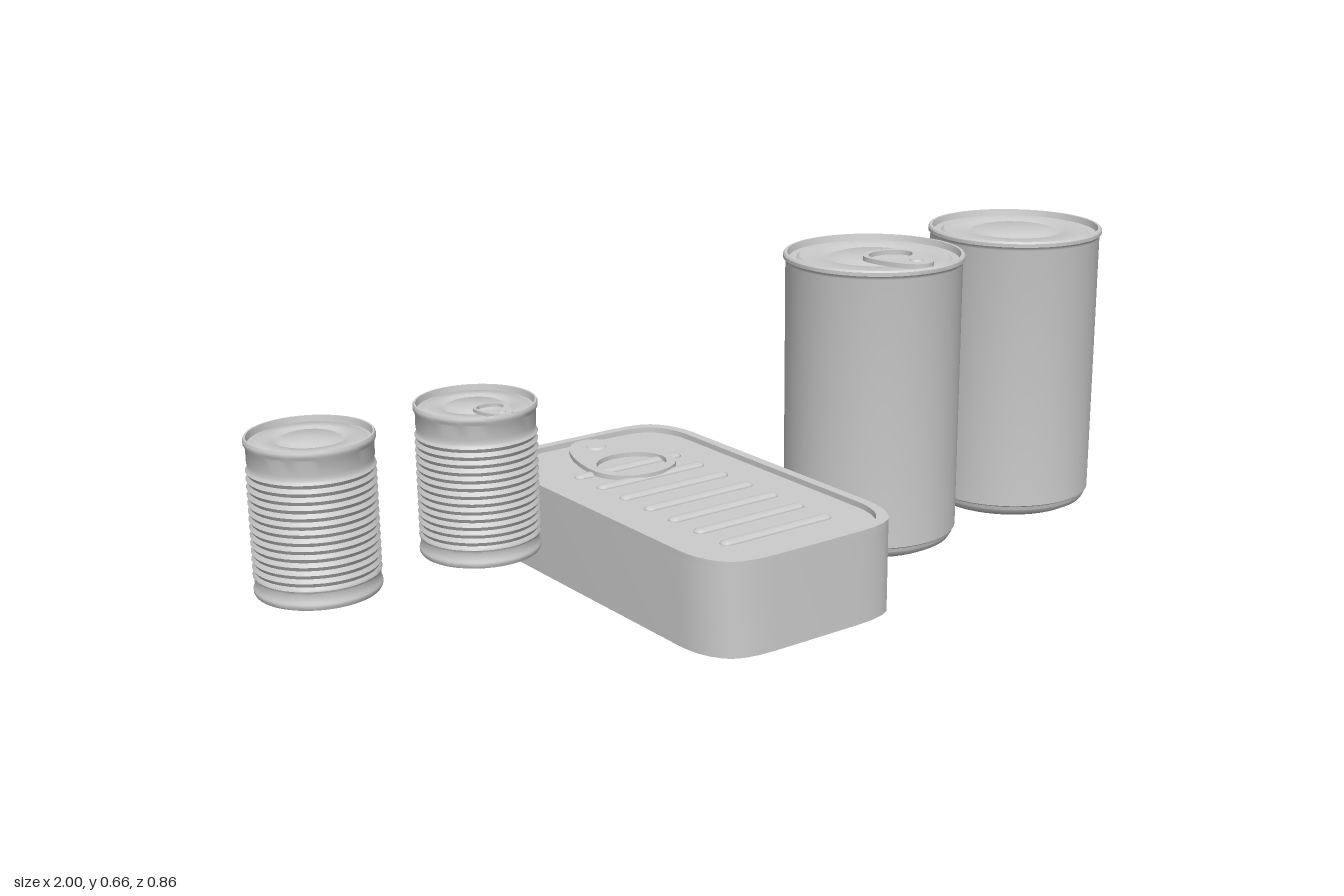
import * as THREE from 'three';
import { toCreasedNormals } from 'three/addons/utils/BufferGeometryUtils.js';

const metal = new THREE.MeshStandardMaterial({ color: 0xcccccc });

function part(name, geometry, x = 0, y = 0, z = 0) {
  const mesh = new THREE.Mesh(geometry, metal);
  mesh.name = name;
  mesh.position.set(x, y, z);
  return mesh;
}

const lathe = (points) => toCreasedNormals(
  new THREE.LatheGeometry(points.map(([r, y]) => new THREE.Vector2(r, y)), 48), 0.6);

// Lid seen from rim to centre: a raised seam, a sunken panel and two pressed rings
const lidProfile = (r, h) => [
  [r * 0.98, h - 0.016], [r, h - 0.012], [r, h - 0.004], [r * 0.985, h], [r * 0.955, h],
  [r * 0.94, h - 0.014], [r * 0.86, h - 0.014], [r * 0.82, h - 0.008], [r * 0.58, h - 0.008],
  [r * 0.54, h - 0.013], [r * 0.48, h - 0.013], [r * 0.43, h - 0.008], [0, h - 0.008],
];

// Egg-shaped pull tab with a finger hole and rivet; its narrow tip points to -z
function pullTab(width, length, thickness) {
  const w = width / 2, L = length;
  const shape = new THREE.Shape();
  shape.moveTo(0, 0);
  shape.bezierCurveTo(w * 0.6, 0, w, L * 0.12, w, L * 0.3);
  shape.bezierCurveTo(w, L * 0.6, w * 0.6, L, 0, L);
  shape.bezierCurveTo(-w * 0.6, L, -w, L * 0.6, -w, L * 0.3);
  shape.bezierCurveTo(-w, L * 0.12, -w * 0.6, 0, 0, 0);
  const hole = new THREE.Path();
  hole.absellipse(0, L * 0.3, w * 0.82, L * 0.24, 0, Math.PI * 2, true);
  shape.holes.push(hole);
  const plate = new THREE.ExtrudeGeometry(shape, { depth: thickness, bevelEnabled: false, curveSegments: 10 });
  plate.rotateX(-Math.PI / 2);
  const tab = new THREE.Group();
  tab.name = 'pullTab';
  const rivet = new THREE.CylinderGeometry(w * 0.2, w * 0.25, thickness * 0.5, 16);
  tab.add(part('tabPlate', toCreasedNormals(plate, 0.6)));
  tab.add(part('tabRivet', rivet, 0, thickness * 1.15, -L * 0.78));
  return tab;
}

// Tall smooth can with a rounded foot
function tallCan(x, y) {
  const can = new THREE.Group();
  can.name = 'tallCan';
  can.position.set(x, y, 0);
  can.add(part('tallCanBody', lathe([
    [0, 0], [0.145, 0], [0.165, 0.003], [0.182, 0.012], [0.188, 0.022], [0.189, 0.03],
    [0.193, 0.033], [0.193, 0.63], ...lidProfile(0.198, 0.65),
  ])));
  return can;
}

// Small can with fine ribs around the wall
function ribbedCan(x) {
  const can = new THREE.Group();
  can.name = 'ribbedCan';
  can.position.set(x, 0.095, -0.232);
  const points = [[0, 0.004], [0.11, 0.004], [0.115, 0], [0.123, 0], [0.126, 0.005], [0.126, 0.012], [0.123, 0.016], [0.123, 0.03]];
  const ribs = 14, bottom = 0.035, pitch = 0.0165;
  for (let i = 0; i < ribs * 4; i++) {
    points.push([0.1235 + 0.0025 * Math.sin(i * Math.PI / 2), bottom + i * pitch / 4]);
  }
  points.push([0.123, 0.272], [0.123, 0.3], ...lidProfile(0.127, 0.32));
  can.add(part('ribbedCanBody', toCreasedNormals(
    new THREE.LatheGeometry(points.map(([r, y]) => new THREE.Vector2(r, y)), 40), 0.9)));
  return can;
}

// Rectangle with rounded corners, drawn counter-clockwise
function roundedRect(Type, w, l, r) {
  const p = new Type(), a = w / 2, b = l / 2;
  p.moveTo(-a + r, -b);
  p.lineTo(a - r, -b);
  p.quadraticCurveTo(a - r * 0.35, -b, a - r * 0.2, -b + r * 0.27);
  p.quadraticCurveTo(a, -b + r * 0.55, a, -b + r);
  p.lineTo(a, b - r);
  p.quadraticCurveTo(a, b - r * 0.55, a - r * 0.2, b - r * 0.27);
  p.quadraticCurveTo(a - r * 0.35, b, a - r, b);
  p.lineTo(-a + r, b);
  p.quadraticCurveTo(-a + r * 0.35, b, -a + r * 0.2, b - r * 0.27);
  p.quadraticCurveTo(-a, b - r * 0.55, -a, b - r);
  p.lineTo(-a, -b + r);
  p.quadraticCurveTo(-a, -b + r * 0.55, -a + r * 0.2, -b + r * 0.27);
  p.quadraticCurveTo(-a + r * 0.35, -b, -a + r, -b);
  return p;
}

function extrudeUp(shape, depth) {
  const g = new THREE.ExtrudeGeometry(shape, { depth, bevelEnabled: false, curveSegments: 4 });
  g.rotateX(-Math.PI / 2);
  return toCreasedNormals(g, 0.7);
}

// Flat oblong tin with a raised rim, pressed bars and a large pull tab
function flatTin() {
  const tin = new THREE.Group();
  tin.name = 'flatTin';
  tin.position.set(-0.14, 0.02, 0);
  const height = 0.197, lidY = height - 0.012;
  tin.add(part('flatTinBody', extrudeUp(roundedRect(THREE.Shape, 0.478, 0.862, 0.135), lidY)));

  const rim = roundedRect(THREE.Shape, 0.478, 0.862, 0.135);
  rim.holes.push(roundedRect(THREE.Path, 0.436, 0.82, 0.12));
  tin.add(part('flatTinRim', extrudeUp(rim, height - lidY), 0, lidY, 0));

  // Half-sunk capsules form the pressed bars
  const bar = new THREE.CapsuleGeometry(0.015, 0.245, 6, 12);
  bar.rotateZ(Math.PI / 2);
  bar.scale(1, 0.5, 1);
  for (let i = 0; i < 7; i++) {
    tin.add(part('lidBar', bar, 0, lidY, -0.213 + i * 0.0855));
  }

  const tab = pullTab(0.195, 0.285, 0.01);
  tab.position.set(0, lidY + 0.003, -0.115);
  tin.add(tab);
  return tin;
}

export function createModel() {
  const model = new THREE.Group();
  model.name = 'cans';

  // Tall pair, the inner one with a tab
  const tabbedTall = tallCan(0.37, 0);
  const tallTab = pullTab(0.128, 0.17, 0.01);
  tallTab.rotation.y = Math.PI;
  tallTab.position.set(0, 0.643, 0.003);
  tabbedTall.add(tallTab);
  model.add(tabbedTall, tallCan(0.8, 0.006));

  // Small pair, the inner one with a tab
  const tabbedSmall = ribbedCan(-0.503);
  const smallTab = pullTab(0.07, 0.095, 0.007);
  smallTab.rotation.y = Math.PI;
  smallTab.position.set(0, 0.313, 0.03);
  tabbedSmall.add(smallTab);
  model.add(tabbedSmall, ribbedCan(-0.873));

  model.add(flatTin());
  return model;
}
